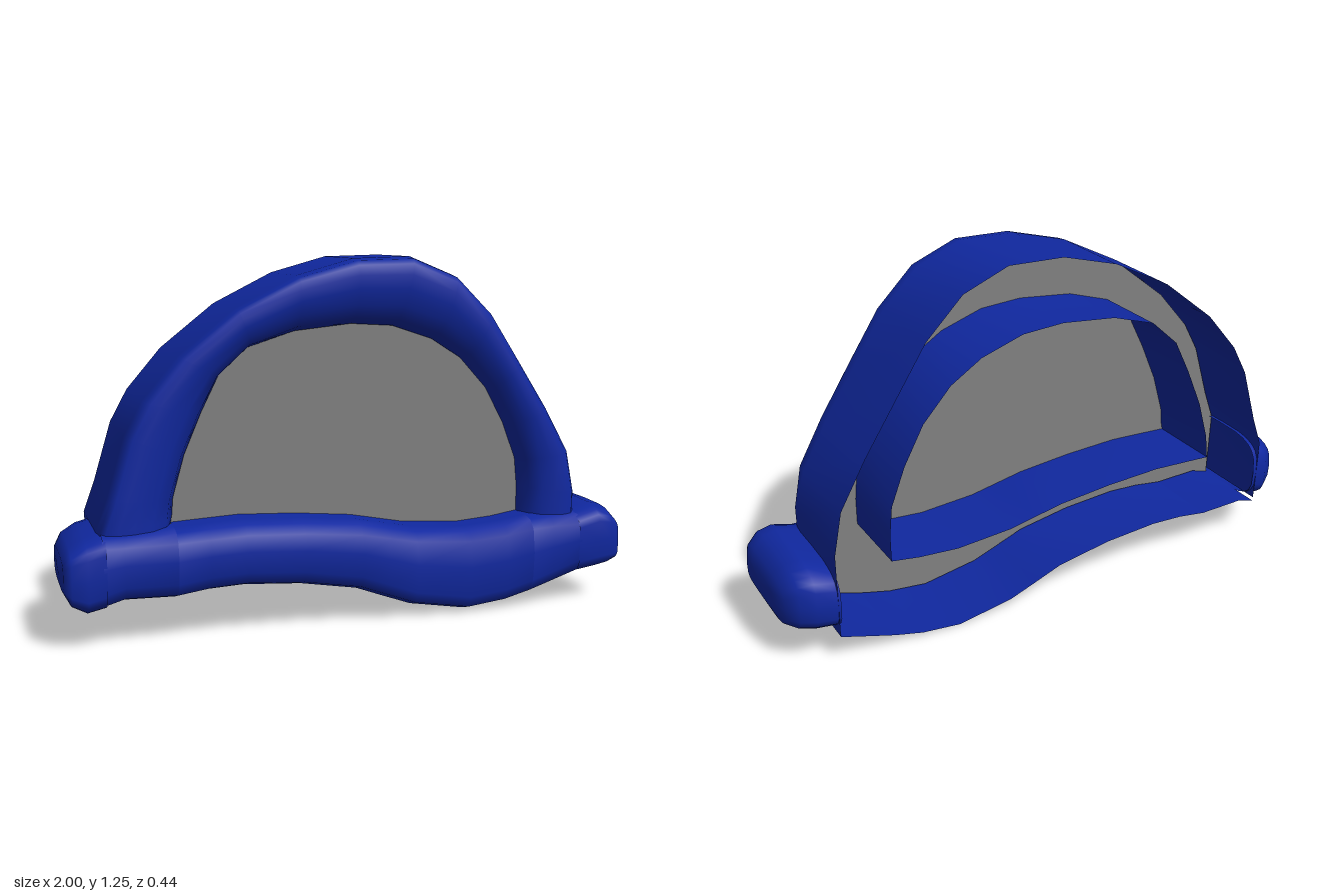
import * as THREE from 'three';

const BACK = -0.22;

// Skin a surface over cross-sections (arrays of [x, y, z] with equal length)
function loft(sections, closed = false) {
  const n = sections[0].length, pos = sections.flat(2), index = [];
  for (let i = 0; i < sections.length - 1; i++) {
    for (let j = 0; j < (closed ? n : n - 1); j++) {
      const k = (j + 1) % n;
      const a = i * n + j, b = i * n + k, c = a + n, d = b + n;
      index.push(a, c, b, b, c, d);
    }
  }
  const geo = new THREE.BufferGeometry();
  geo.setAttribute('position', new THREE.Float32BufferAttribute(pos, 3));
  geo.setIndex(index);
  geo.computeVertexNormals();
  return geo;
}

// Outer and inner outlines of the arch, from one leg over the top to the other
const outer = [[-0.87, 0.14], [-0.88, 0.37], [-0.84, 0.48], [-0.78, 0.68], [-0.72, 0.79], [-0.6, 0.93],
  [-0.41, 1.08], [-0.2, 1.185], [0, 1.24], [0.2, 1.245], [0.36, 1.18], [0.49, 1.05], [0.6, 0.88],
  [0.71, 0.71], [0.8, 0.55], [0.83, 0.4], [0.83, 0.1]];
const inner = [[-0.63, 0.375], [-0.625, 0.4], [-0.62, 0.46], [-0.58, 0.6], [-0.52, 0.74], [-0.46, 0.86],
  [-0.36, 0.95], [-0.2, 1.0], [0, 1.02], [0.15, 1.01], [0.3, 0.96], [0.41, 0.89], [0.51, 0.78],
  [0.58, 0.65], [0.63, 0.52], [0.64, 0.42], [0.64, 0.325]];
// Arch profile: [share of the way from outer to inner edge, z]
const archProfile = [[0, BACK], [0, 0.1], [0.03, 0.145], [0.1, 0.162], [0.25, 0.17], [0.45, 0.168],
  [0.7, 0.155], [0.9, 0.125], [1, 0.07], [1, BACK]];

// Sill stations: [x, top, bottom, z where the top wall ends]
const LEG = 0.08;
const sill = [[-0.87, 0.375, 0.125, LEG], [-0.8, 0.375, 0.145, LEG], [-0.63, 0.375, 0.14, LEG],
  [-0.63, 0.375, 0.14, BACK], [-0.52, 0.38, 0.155, BACK], [-0.4, 0.385, 0.16, BACK],
  [-0.2, 0.375, 0.145, BACK], [0, 0.355, 0.11, BACK], [0.1, 0.335, 0.072, BACK],
  [0.2, 0.315, 0.035, BACK], [0.4, 0.3, 0, BACK], [0.54, 0.31, 0.015, BACK], [0.64, 0.325, 0.04, BACK],
  [0.64, 0.325, 0.04, LEG], [0.72, 0.33, 0.065, LEG], [0.83, 0.33, 0.1, LEG]];

// Hollow sill section, open at the back
const sillSection = ([x, top, bot, zTop]) => [
  [top, zTop], [top, 0.13], [top - 0.01, 0.18], [top - 0.04, 0.207], [(top + bot) / 2 + 0.02, 0.22],
  [bot + 0.06, 0.212], [bot + 0.02, 0.19], [bot, 0.13], [bot, BACK],
].map(([y, z]) => [x, y, z]);

// Solid sill ends: [x, top, bottom, back z, front z]
const ends = {
  rightSillEnd: [[-0.86, 0.375, 0.125, -0.22, 0.22], [-0.92, 0.36, 0.112, -0.22, 0.22],
    [-0.97, 0.335, 0.14, -0.185, 0.212], [-0.995, 0.3, 0.19, -0.12, 0.19], [-1, 0.25, 0.25, 0.04, 0.04]],
  leftSillEnd: [[0.82, 0.33, 0.1, -0.22, 0.22], [0.9, 0.352, 0.11, -0.22, 0.22],
    [0.95, 0.34, 0.12, -0.2, 0.216], [0.985, 0.3, 0.135, -0.16, 0.205], [1, 0.26, 0.17, -0.08, 0.17],
    [1, 0.22, 0.22, 0.04, 0.04]],
};

// Rounded ring, squarer at the front than at the back
function endRing([x, top, bot, zb, zf]) {
  const ring = [], n = 24;
  const power = (v, e) => Math.sign(v) * Math.abs(v) ** e;
  for (let i = 0; i < n; i++) {
    const a = (i / n) * Math.PI * 2, c = Math.cos(a), s = Math.sin(a);
    const e = c > 0 ? 0.45 : 0.6;
    ring.push([x, (top + bot) / 2 + power(s, e) * (top - bot) / 2, (zb + zf) / 2 + power(c, e) * (zf - zb) / 2]);
  }
  return ring;
}

export function createModel() {
  const group = new THREE.Group();
  const blue = new THREE.MeshStandardMaterial({ color: 0x1028a0, side: THREE.DoubleSide });
  const grey = new THREE.MeshStandardMaterial({ color: 0x808080, side: THREE.DoubleSide });
  const add = (name, geo, mat) => {
    const mesh = new THREE.Mesh(geo, mat);
    mesh.name = name;
    group.add(mesh);
    return mesh;
  };

  // Hollow arch of the frame
  add('archFrame', loft(outer.map(([ox, oy], i) => archProfile.map(([t, z]) =>
    [ox + (inner[i][0] - ox) * t, oy + (inner[i][1] - oy) * t, z])).reverse()), blue);

  // Wavy sill across the bottom
  add('sill', loft(sill.map(sillSection)), blue);

  // Rounded ends beyond the arch legs
  for (const [name, rows] of Object.entries(ends)) {
    const rings = rows.map(endRing);
    if (rows[0][0] > 0) rings.reverse();
    add(name, loft(name === 'leftSillEnd' ? rings.reverse() : rings, true), blue);
  }

  // Window pane filling the whole frame outline
  const outline = [...outer, ...sill.slice().reverse().map(([x, , bot]) => [x, bot])];
  const shape = new THREE.Shape(outline.map(([x, y]) =>
    new THREE.Vector2(x * 0.99, 0.6 + (y - 0.6) * 0.99)));
  add('windowPane', new THREE.ShapeGeometry(shape), grey).position.z = 0.06;

  return group;
}
